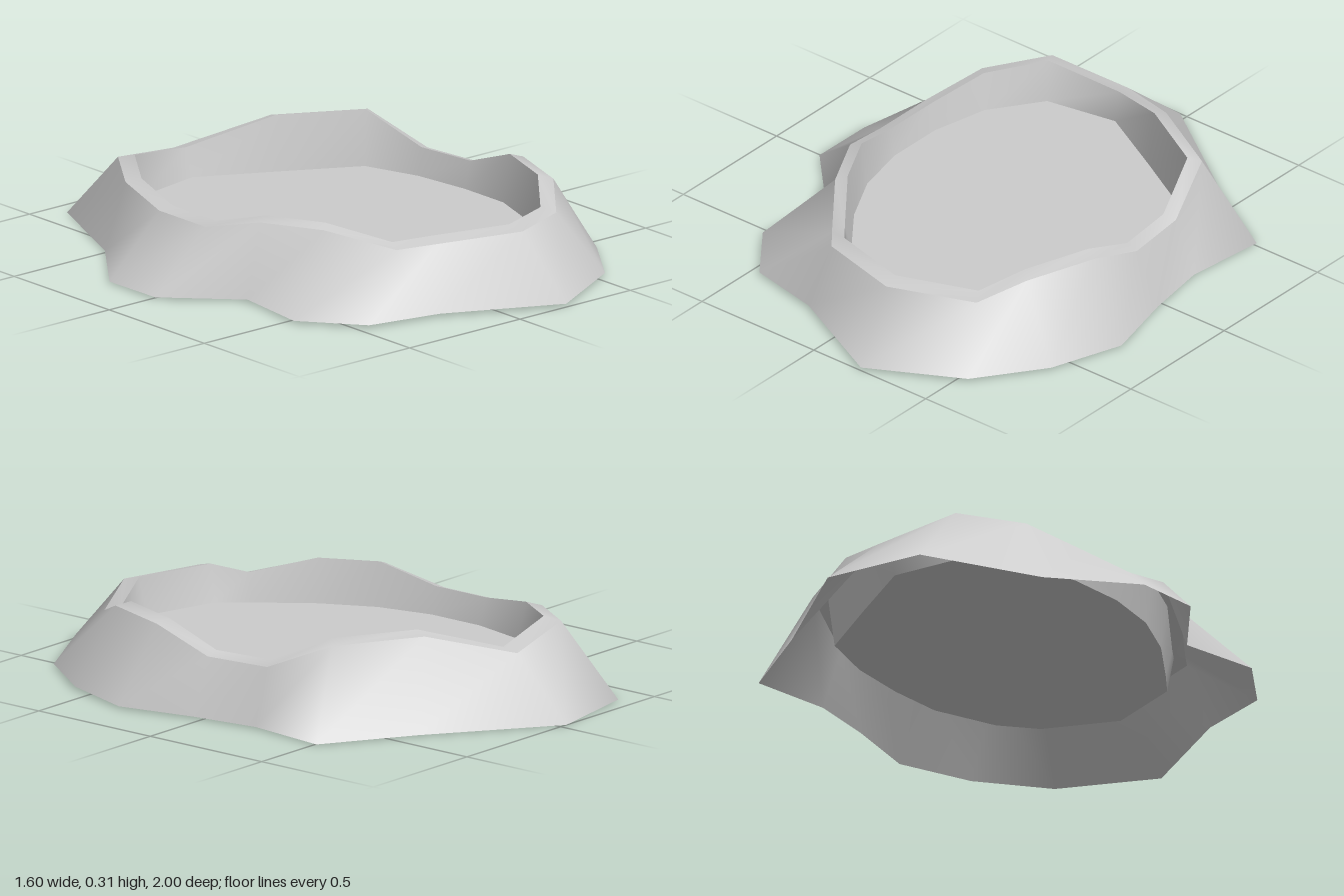
import * as THREE from 'three';

// One row per corner, running back -> left (-x) -> front -> right (+x):
// foot x, foot z, inner lip x, inner lip z, lip height
const CORNERS = [
  [-0.03, -1.0, -0.05, -0.70, 0.22],
  [-0.39, -0.93, -0.325, -0.65, 0.262],
  [-0.58, -0.51, -0.457, -0.46, 0.25],
  [-0.80, -0.23, -0.505, -0.24, 0.215],
  [-0.80, 0.01, -0.505, -0.015, 0.215],
  [-0.58, 0.24, -0.457, 0.196, 0.275],
  [-0.62, 0.53, -0.357, 0.39, 0.275],
  [-0.46, 0.74, -0.214, 0.577, 0.22],
  [-0.19, 0.80, -0.13, 0.68, 0.25],
  [0.21, 1.0, 0.16, 0.757, 0.25],
  [0.54, 0.82, 0.42, 0.62, 0.225],
  [0.71, 0.58, 0.52, 0.49, 0.29],
  [0.80, 0.31, 0.60, 0.25, 0.29],
  [0.73, 0.03, 0.60, 0.04, 0.215],
  [0.69, -0.21, 0.574, -0.185, 0.215],
  [0.72, -0.51, 0.505, -0.397, 0.315],
  [0.40, -0.70, 0.23, -0.55, 0.315],
];
const CENTER = { x: 0.04, z: 0.02 };
const FLOOR_Y = 0.118;

// The lip outline scaled about the crater's centre
const lipRing = (scale, height) => CORNERS.map(([, , x, z, h]) => new THREE.Vector3(
  CENTER.x + (x - CENTER.x) * scale,
  height(h),
  CENTER.z + (z - CENTER.z) * scale,
));

// Smooth closed band between two rings of equal length
function band(lower, upper) {
  const n = lower.length;
  const index = [];
  for (let i = 0; i < n; i++) {
    const j = (i + 1) % n;
    index.push(i, j, n + j, i, n + j, n + i);
  }
  const geometry = new THREE.BufferGeometry().setFromPoints([...lower, ...upper]);
  geometry.setIndex(index);
  geometry.computeVertexNormals();
  return geometry;
}

export function createModel() {
  const group = new THREE.Group();
  group.name = 'crater';
  const material = new THREE.MeshStandardMaterial({ color: 0xcccccc, side: THREE.DoubleSide });
  const add = (name, geometry) => {
    const mesh = new THREE.Mesh(geometry, material);
    mesh.name = name;
    group.add(mesh);
    return mesh;
  };

  const foot = CORNERS.map(([x, z]) => new THREE.Vector3(x, 0.006 * (1 + z), z));
  const outerLip = lipRing(1.08, (h) => h - 0.014);
  const innerLip = lipRing(1, (h) => h);
  const floorEdge = lipRing(0.96, () => FLOOR_Y);

  // Sloping outside, narrow lip and steep inside, creased where they meet
  add('outerSlope', band(foot, outerLip));
  add('rim', band(outerLip, innerLip));
  add('innerWall', band(innerLip, floorEdge));

  // Flat crater floor
  const outline = new THREE.Shape(floorEdge.map((p) => new THREE.Vector2(p.x, -p.z)));
  const floor = add('craterFloor', new THREE.ShapeGeometry(outline).rotateX(-Math.PI / 2));
  floor.position.y = FLOOR_Y;

  return group;
}
